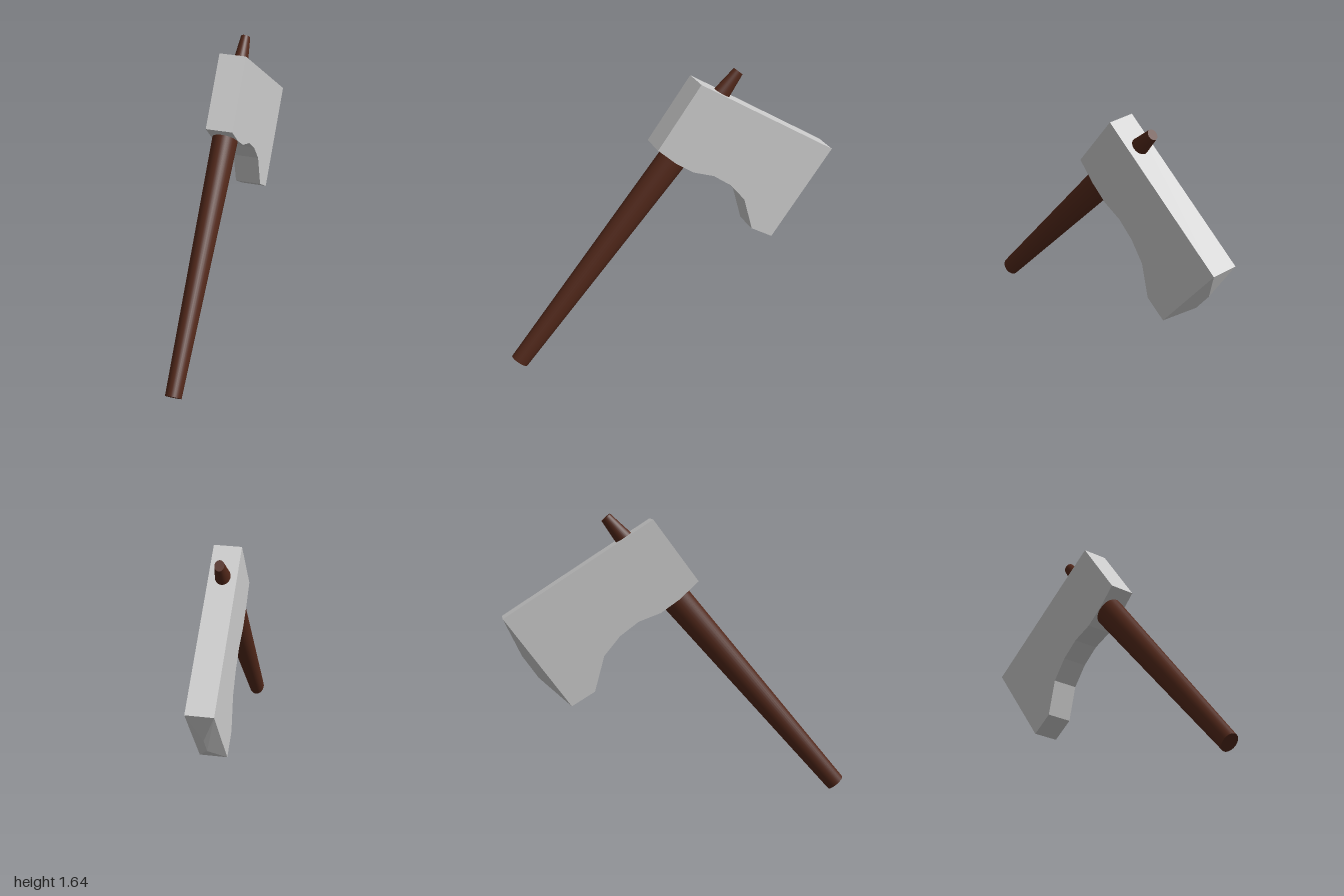
import * as THREE from 'three';

const HALF = 0.077; // half thickness of the axe head

export function createModel() {
  const model = new THREE.Group();
  model.name = 'axe';
  const steel = new THREE.MeshStandardMaterial({ color: 0xcccccc, flatShading: true });
  const wood = new THREE.MeshStandardMaterial({ color: 0x52281a });

  const add = (parent, name, geometry, material) => {
    const mesh = new THREE.Mesh(geometry, material);
    mesh.name = name;
    parent.add(mesh);
    return mesh;
  };

  // Head: profile drawn with x pointing to the back, turned into place below
  const head = new THREE.Group();
  head.name = 'head';
  head.rotation.y = Math.PI / 2;
  model.add(head);

  const profile = [
    [0.15, 1.617], [-0.11, 1.265], [0, 1.163], [0.107, 1.088], [0.235, 1.04],
    [0.342, 0.96], [0.433, 0.848], [0.487, 0.645], [0.62, 0.564], [1, 1.07],
  ].map(([x, y]) => new THREE.Vector2(x, y));
  const slab = new THREE.ExtrudeGeometry(new THREE.Shape(profile), { depth: 2 * HALF, bevelEnabled: false });
  slab.translate(0, 0, -HALF);
  add(head, 'blade', slab, steel);

  // Cutting edge: a central ridge bulging out between the blade's corners
  const corners = (d) => [[1, 1.07, d], [0.62, 0.564, d]];
  const [topL, lowL] = corners(HALF);
  const [topR, lowR] = corners(-HALF);
  const ridgeHigh = [0.893, 0.848, 0];
  const ridgeLow = [0.8, 0.72, 0];
  const triangles = [
    topL, lowL, ridgeLow, topL, ridgeLow, ridgeHigh,
    lowR, topR, ridgeLow, ridgeLow, topR, ridgeHigh,
    topR, topL, ridgeHigh, lowL, lowR, ridgeLow,
  ];
  const edge = new THREE.BufferGeometry();
  edge.setAttribute('position', new THREE.Float32BufferAttribute(triangles.flat(), 3));
  edge.computeVertexNormals();
  add(head, 'cuttingEdge', edge, steel);

  // Handle: oval shaft leaning back, swelling up to the head, then tapering to a tip
  const handle = new THREE.Group();
  handle.name = 'handle';
  handle.position.set(0, 0.04, 0.955);
  handle.rotation.x = -0.71;
  handle.scale.x = 0.83;
  model.add(handle);

  const taper = (name, y0, r0, y1, r1) => {
    const geometry = new THREE.CylinderGeometry(r1, r0, y1 - y0, 32);
    geometry.translate(0, (y0 + y1) / 2, 0);
    add(handle, name, geometry, wood);
  };
  taper('shaft', 0, 0.055, 1.62, 0.09);
  taper('shaftTip', 1.62, 0.09, 2.094, 0.032);

  return model;
}
